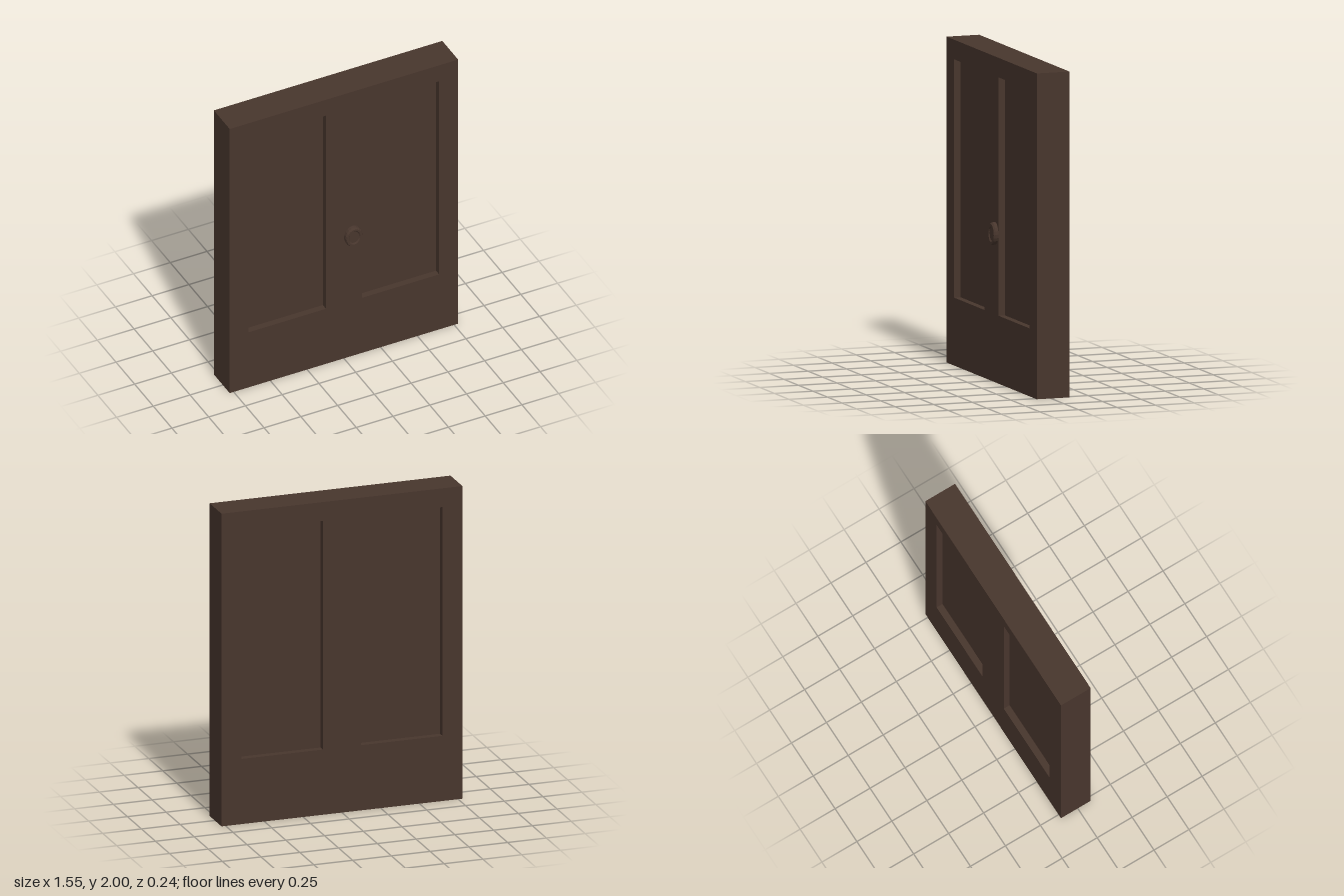
import * as THREE from 'three';

const BACK = -0.12, FRONT = 0.092, HALF_WIDTH = 0.777, HEIGHT = 2;
const RECESS = 0.042;
const PANEL = { x0: 0.122, x1: 0.648, y0: 0.417, y1: 1.88 };

function rectangle(path, x0, y0, x1, y1) {
  path.moveTo(x0, y0);
  path.lineTo(x1, y0);
  path.lineTo(x1, y1);
  path.lineTo(x0, y1);
  path.closePath();
  return path;
}

export function createModel() {
  const group = new THREE.Group();
  group.name = 'door';
  const wood = new THREE.MeshStandardMaterial({ color: 0x48362d });
  wood.name = 'darkWood';

  const add = (geometry, name) => {
    const mesh = new THREE.Mesh(geometry, wood);
    mesh.name = name;
    group.add(mesh);
    return mesh;
  };

  // Door frame with two tall openings
  const outline = rectangle(new THREE.Shape(), -HALF_WIDTH, 0, HALF_WIDTH, HEIGHT);
  outline.holes.push(
    rectangle(new THREE.Path(), PANEL.x0, PANEL.y0, PANEL.x1, PANEL.y1),
    rectangle(new THREE.Path(), -PANEL.x1, PANEL.y0, -PANEL.x0, PANEL.y1)
  );
  const frame = new THREE.ExtrudeGeometry(outline, { depth: FRONT - BACK, bevelEnabled: false });
  add(frame.translate(0, 0, BACK), 'doorFrame');

  // Panels recessed on both faces
  for (const [side, name] of [[1, 'leftPanel'], [-1, 'rightPanel']]) {
    const panel = add(new THREE.BoxGeometry(
      PANEL.x1 - PANEL.x0, PANEL.y1 - PANEL.y0, FRONT - BACK - 2 * RECESS), name);
    panel.position.set(side * (PANEL.x0 + PANEL.x1) / 2, (PANEL.y0 + PANEL.y1) / 2, (FRONT + BACK) / 2);
  }

  // Oval knob with a chamfered rim and a shallow dished face
  const profile = [[0.058, -0.005], [0.058, 0.018], [0.052, 0.028], [0.04, 0.028], [0.034, 0.022], [0, 0.022]]
    .map(([r, h]) => new THREE.Vector2(r, h));
  const knob = new THREE.LatheGeometry(profile, 20).toNonIndexed();
  knob.rotateX(Math.PI / 2);
  knob.scale(1, 1.2, 1);
  // The face sits slightly lower than the base
  const p = knob.attributes.position;
  for (let i = 0; i < p.count; i++) {
    p.setY(i, p.getY(i) - 0.25 * Math.max(0, p.getZ(i) - 0.005));
  }
  knob.computeVertexNormals();
  add(knob, 'knob').position.set(0.059, 0.916, FRONT);

  return group;
}
